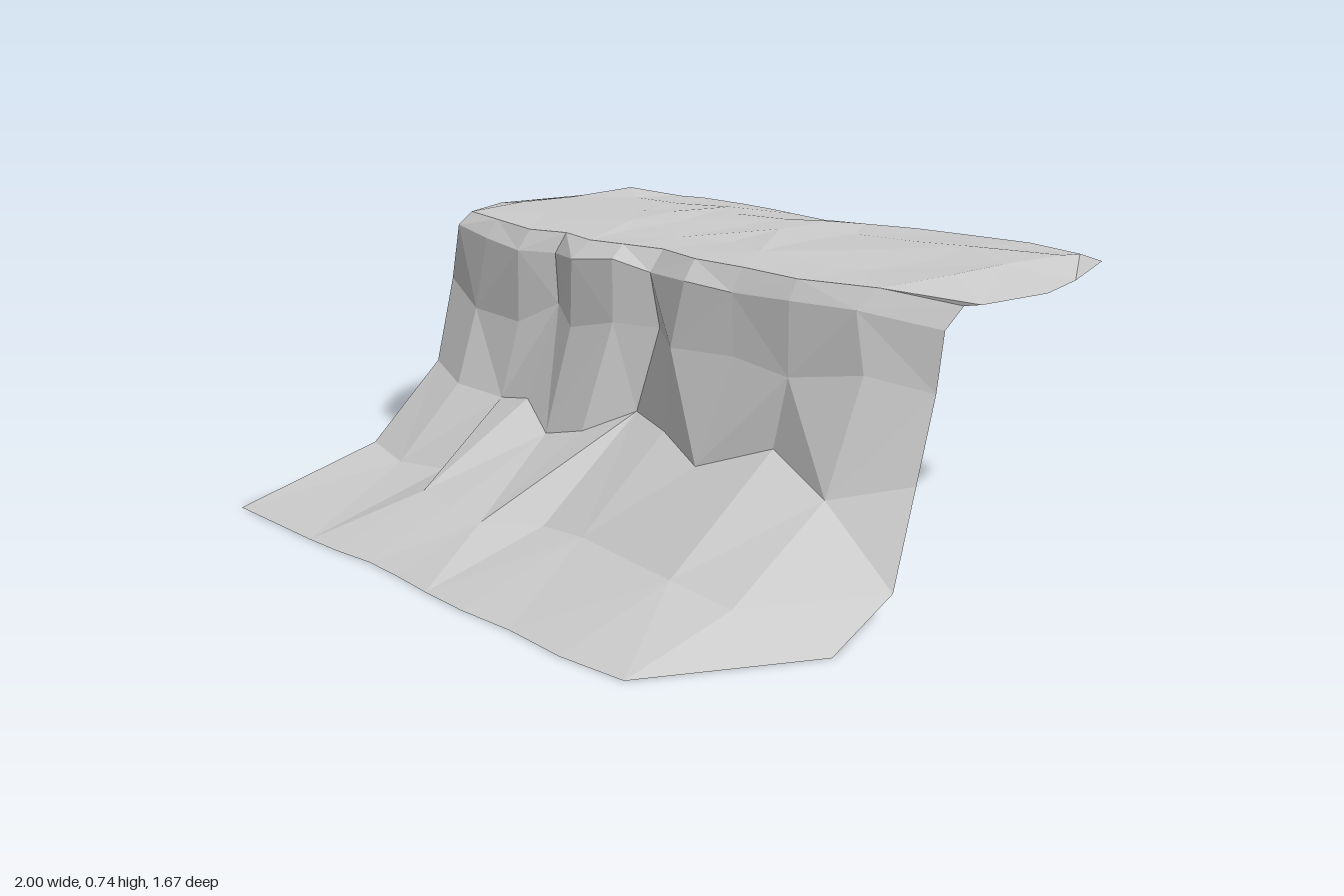
import * as THREE from 'three';

// Shared columns across the cliff; each row gives its own end positions.
const columns = [-0.79, -0.62, -0.44, -0.32, -0.19, -0.06, 0.07, 0.22, 0.39, 0.58, 0.77];
// Bulges (+) and gullies (-) of the rock, one per column
const relief = [-0.035, 0.005, 0.01, -0.025, 0.02, 0.01, -0.025, 0.015, 0.01, 0.005, -0.04];

function seeded(seed) {
  return () => {
    seed = (seed * 16807) % 2147483647;
    return seed / 2147483647 - 0.5;
  };
}

// One cross-section: left end, interior points, right end
const row = (left, ys, zs, right, spread = 1) => [
  left,
  ...columns.map((x, i) => [x * spread,
    Array.isArray(ys) ? ys[i] : ys,
    Array.isArray(zs) ? zs[i] : zs]),
  right,
];

// Row following the rock relief, with small irregularities
const rockRow = (left, y, z, right, depth, jx, jy, rand, spread = 1) =>
  row(left, y, z, right, spread).map((p, i, all) =>
    i === 0 || i === all.length - 1 ? p
      : [p[0] + rand() * jx, p[1] + rand() * jy, p[2] + relief[i - 1] * depth + rand() * 0.02]);

// Faceted sheet through successive rows
function sheet(name, rows, material) {
  const pos = [];
  for (let j = 0; j < rows.length - 1; j++) {
    for (let i = 0; i < rows[j].length - 1; i++) {
      const a = rows[j][i], b = rows[j][i + 1], c = rows[j + 1][i + 1], d = rows[j + 1][i];
      const tris = (i + j) % 2 ? [a, b, c, a, c, d] : [a, b, d, b, c, d];
      tris.forEach((p) => pos.push(...p));
    }
  }
  const geo = new THREE.BufferGeometry();
  geo.setAttribute('position', new THREE.Float32BufferAttribute(pos, 3));
  geo.computeVertexNormals();
  const mesh = new THREE.Mesh(geo, material);
  mesh.name = name;
  return mesh;
}

export function createModel() {
  const group = new THREE.Group();
  group.name = 'cliff';
  const material = new THREE.MeshStandardMaterial({
    color: 0xcccccc, flatShading: true, side: THREE.DoubleSide,
  });
  const rand = seeded(417);

  // Foot slope: toe on the ground, middle, and the knee under the wall
  const toe = row([-0.9, 0, 0.4], 0,
    [0.83, 0.83, 0.83, 0.825, 0.81, 0.815, 0.825, 0.83, 0.82, 0.83, 0.81], [0.99, 0, 0.4]);
  const mid = row([-0.9, 0.07, 0.15],
    [0.1, 0.085, 0.1, 0.1, 0.09, 0.08, 0.08, 0.09, 0.09, 0.09, 0.07],
    [0.39, 0.42, 0.4, 0.55, 0.56, 0.56, 0.46, 0.46, 0.48, 0.5, 0.49], [0.95, 0.07, 0.15]);
  const knee = row([-0.9, 0.29, 0.03],
    [0.31, 0.28, 0.27, 0.29, 0.225, 0.255, 0.32, 0.305, 0.26, 0.33, 0.25],
    [0.17, 0.22, 0.2, 0.2, 0.24, 0.22, 0.14, 0.18, 0.23, 0.15, 0.17], [0.91, 0.29, 0.03], 0.98);

  // Rock wall: waist, brow and rim
  const waist = rockRow([-0.9, 0.5, -0.03], 0.51, 0.125, [0.91, 0.5, -0.03], 1.3, 0.07, 0.08, rand);
  const brow = rockRow([-0.92, 0.65, -0.04], 0.69, 0.105, [0.92, 0.65, -0.04], 1, 0.04, 0.03, rand);
  const rim = rockRow([-0.93, 0.705, -0.08], 0.735, 0.065, [0.94, 0.705, -0.08], 0.8, 0.03, 0.008, rand);

  // Plateau: gently uneven rows ending in the irregular back outline
  const inner = (left, z, right) =>
    rockRow(left, 0.738, z, right, 2, 0.06, 0.014, rand, 1.06);
  const front = inner([-1, 0.71, -0.25], -0.14, [0.975, 0.71, -0.1]);
  const centre = inner([-0.975, 0.71, -0.4], -0.34, [1, 0.71, -0.32]);
  const rear = inner([-0.95, 0.71, -0.55], -0.55, [0.955, 0.71, -0.5]);
  const back = row([-0.78, 0.712, -0.72], 0.715,
    [-0.745, -0.77, -0.77, -0.76, -0.74, -0.72, -0.755, -0.8, -0.82, -0.84, -0.795],
    [0.86, 0.712, -0.76]);
  back[1][0] = -0.7;

  group.add(
    sheet('footSlope', [toe, mid, knee], material),
    sheet('rockWall', [knee, waist, brow, rim], material),
    sheet('plateau', [rim, front, centre, rear, back], material),
  );
  return group;
}
